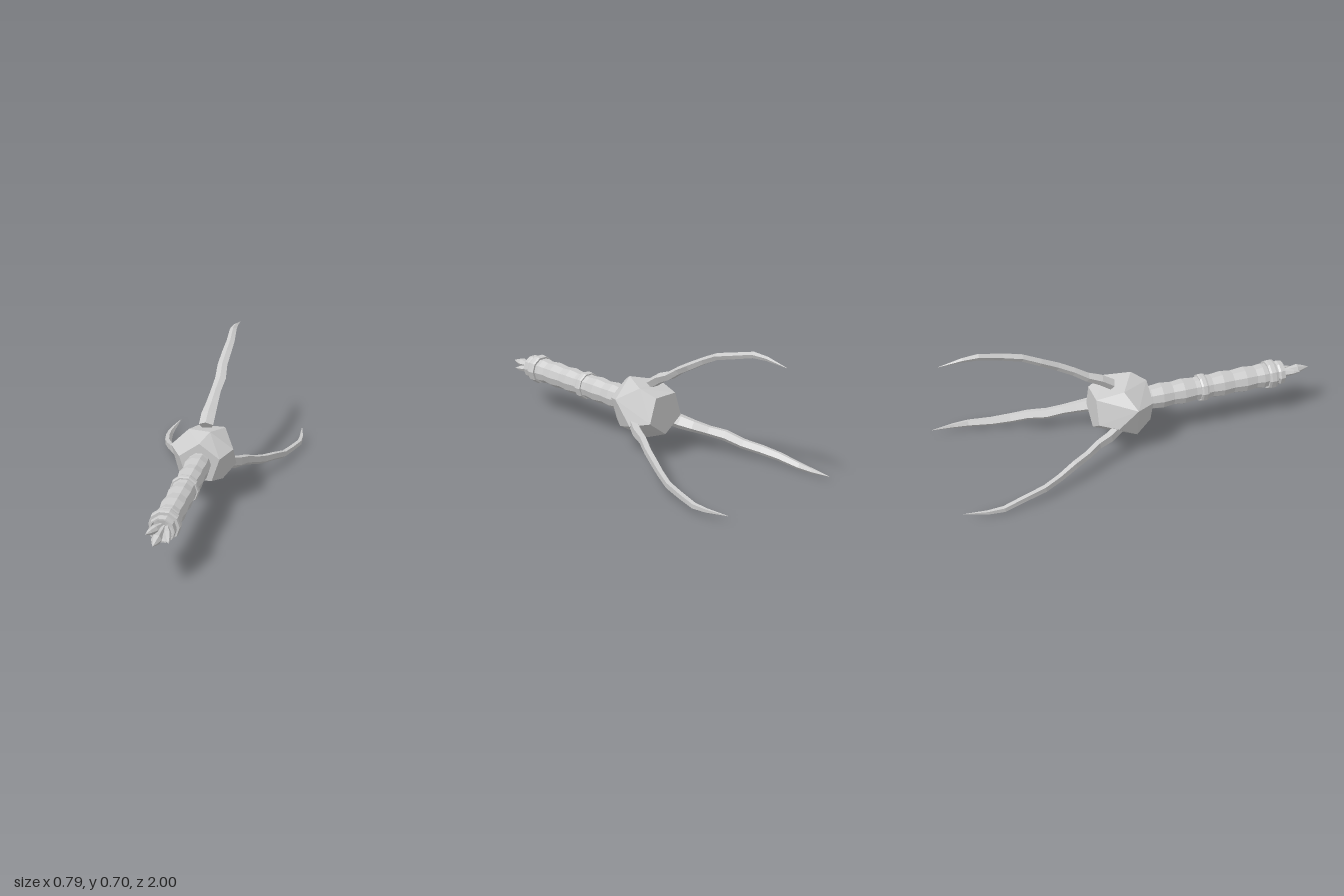
import * as THREE from 'three';
import { ConvexGeometry } from 'three/addons/geometries/ConvexGeometry.js';

const AXIS_Y = 0.24;

// Claw stations: [x, radius from axis, z, half width, half thickness]
const CLAW = [
  [-0.007, 0.135, -0.12, 0.04, 0.028],
  [-0.007, 0.175, -0.18, 0.04, 0.027],
  [-0.005, 0.205, -0.25, 0.034, 0.023],
  [0.0, 0.25, -0.32, 0.029, 0.021],
  [0.008, 0.292, -0.4, 0.031, 0.021],
  [0.0, 0.34, -0.49, 0.028, 0.019],
  [0.004, 0.382, -0.58, 0.027, 0.018],
  [0.003, 0.408, -0.68, 0.024, 0.017],
  [-0.007, 0.438, -0.8, 0.02, 0.016],
  [-0.009, 0.437, -0.88, 0.014, 0.011],
  [-0.008, 0.42, -1.0, 0.001, 0.001],
];

// Five-sided loft with its ridge facing outward
function clawGeometry() {
  const sides = 5, pos = [], idx = [];
  CLAW.forEach(([x, r, z, w, h], i) => {
    const a = CLAW[Math.max(i - 1, 0)], b = CLAW[Math.min(i + 1, CLAW.length - 1)];
    const dr = b[1] - a[1], dz = b[2] - a[2], len = Math.hypot(dr, dz);
    for (let j = 0; j < sides; j++) {
      const t = (j / sides) * Math.PI * 2;
      const n = h * Math.cos(t);
      pos.push(x + w * Math.sin(t), r - (dz / len) * n, z + (dr / len) * n);
    }
  });
  for (let i = 0; i < CLAW.length - 1; i++) {
    for (let j = 0; j < sides; j++) {
      const k = (j + 1) % sides;
      const a = i * sides + j, b = i * sides + k;
      idx.push(a, b, b + sides, a, b + sides, a + sides);
    }
  }
  // Base and tip caps
  const last = (CLAW.length - 1) * sides;
  for (let j = 1; j < sides - 1; j++) {
    idx.push(0, j + 1, j, last, last + j, last + j + 1);
  }
  const g = new THREE.BufferGeometry();
  g.setAttribute('position', new THREE.Float32BufferAttribute(pos, 3));
  g.setIndex(idx);
  g.computeVertexNormals();
  return g;
}

// Solid of revolution along z from [radius, z] pairs
function turned(profile, sides) {
  const g = new THREE.LatheGeometry(profile.map(([r, z]) => new THREE.Vector2(r, z)), sides);
  return g.rotateY(Math.PI / sides).rotateX(Math.PI / 2);
}

export function createModel() {
  const model = new THREE.Group();
  model.name = 'clawedSceptre';
  const stone = new THREE.MeshStandardMaterial({ color: 0xcccccc, flatShading: true });
  stone.name = 'pale grey';

  const core = new THREE.Group();
  core.name = 'sceptre';
  core.position.y = AXIS_Y;
  model.add(core);

  const add = (name, geometry, parent = core) => {
    const mesh = new THREE.Mesh(geometry, stone);
    mesh.name = name;
    parent.add(mesh);
    return mesh;
  };

  // Irregular twelve-faced head: [angle in degrees, radius, z]
  const corners = [
    [75, 0.158, 0.0], [20, 0.17, -0.02], [164, 0.181, -0.03], [227, 0.177, -0.02], [317, 0.15, 0.0],
    [126, 0.154, -0.08], [54, 0.16, -0.13], [198, 0.165, -0.13], [277, 0.159, -0.11], [338, 0.168, -0.12],
  ];
  for (let k = 0; k < 5; k++) {
    corners.push([18 + 72 * k, 0.112, 0.072], [54 + 72 * k, 0.115, -0.222]);
  }
  add('head', new ConvexGeometry(corners.map(([deg, r, z]) => {
    const a = THREE.MathUtils.degToRad(deg);
    return new THREE.Vector3(r * Math.cos(a), r * Math.sin(a), z);
  })));

  // Rippled handle with a hollow end
  add('handle', turned([
    [0.062, 0.03], [0.062, 0.09], [0.069, 0.15], [0.062, 0.21], [0.069, 0.27], [0.062, 0.335],
    [0.066, 0.38], [0.062, 0.43], [0.069, 0.49], [0.062, 0.55], [0.069, 0.62], [0.062, 0.68],
    [0.068, 0.72], [0.062, 0.77], [0.06, 0.805], [0.067, 0.815], [0.064, 0.84],
    [0.056, 0.84], [0.052, 0.8], [0, 0.79],
  ], 10));

  // Collars around the handle
  const collar = (name, r, z, half) => add(name, turned([
    [0.058, z - half], [r - 0.004, z - half], [r, z - half * 0.5],
    [r, z + half * 0.5], [r - 0.004, z + half], [0.058, z + half],
  ], 10));
  collar('middleCollar', 0.075, 0.38, 0.02);
  collar('endCollar', 0.079, 0.77, 0.024);

  // Crystal bud at the handle end
  add('centreCrystal', turned([
    [0, 0.78], [0.012, 0.8], [0.015, 0.87], [0.026, 0.93], [0.012, 0.972], [0, 1.0],
  ], 6));
  for (const side of [-1, 1]) {
    const leaf = add(side < 0 ? 'rightCrystal' : 'leftCrystal', turned([
      [0, 0], [0.014, 0.015], [0.021, 0.07], [0.014, 0.115], [0, 0.15],
    ], 6));
    leaf.position.set(side * 0.008, side * -0.003, 0.785);
    leaf.rotation.set(side * 0.1, side * 0.32, 0);
  }

  // Three claws spaced evenly around the head
  const claw = clawGeometry();
  ['topClaw', 'rightClaw', 'leftClaw'].forEach((name, i) => {
    add(name, claw).rotation.z = (i * Math.PI * 2) / 3;
  });

  return model;
}
